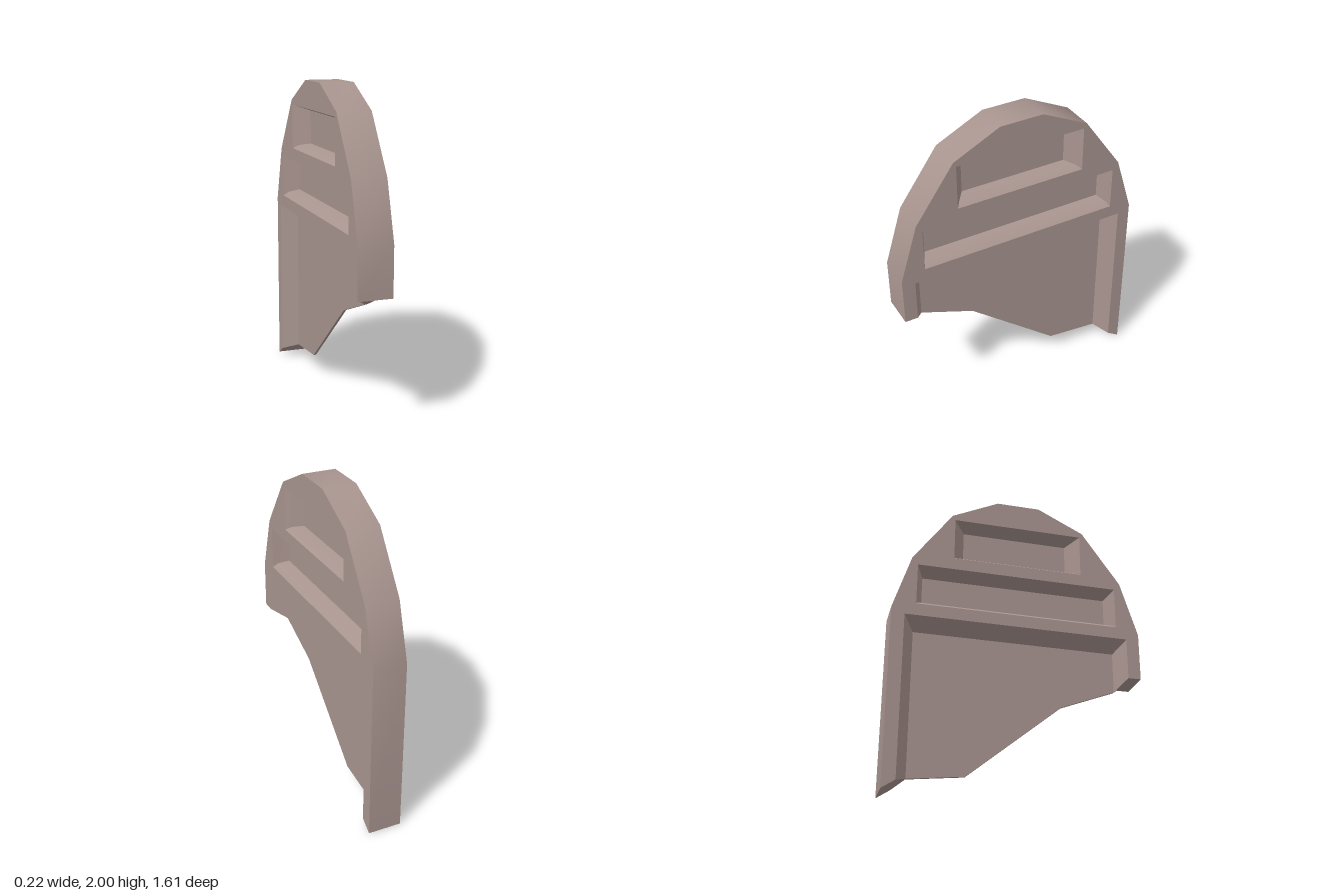
import * as THREE from 'three';
import { toCreasedNormals } from 'three/addons/utils/BufferGeometryUtils.js';

const H = 0.108; // half thickness of the frame
const T = 0.008; // half thickness of the thin web

// Profile points are [u, y] with u = -z, so u runs right when seen from +x.
const at = (p, x) => [x, p[1], -p[0]];

// Collects quads and flat polygons into one mesh; side -1 mirrors them to -x.
function builder() {
  const pos = [];
  const tri = (a, b, c, side) => {
    for (const p of side > 0 ? [a, b, c] : [a, c, b]) pos.push(side * p[0], p[1], p[2]);
  };
  return {
    quad(a, b, c, d, side = 1) {
      tri(a, b, c, side);
      tri(a, c, d, side);
    },
    plate(outline, holes, x, side) {
      const v = (l) => l.map((p) => new THREE.Vector2(p[0], p[1]));
      const all = [outline, ...holes].flat();
      for (const [a, b, c] of THREE.ShapeUtils.triangulateShape(v(outline), holes.map(v))) {
        tri(at(all[a], x), at(all[b], x), at(all[c], x), side);
      }
    },
    // sloped walls between two matching clockwise paths at different depths
    walls(outer, xo, inner, xi, closed, side) {
      const n = outer.length;
      for (let i = 0; i < (closed ? n : n - 1); i++) {
        const j = (i + 1) % n;
        this.quad(at(outer[i], xo), at(inner[i], xi), at(inner[j], xi), at(outer[j], xo), side);
      }
    },
    mesh(name, material, crease) {
      let g = new THREE.BufferGeometry();
      g.setAttribute('position', new THREE.Float32BufferAttribute(pos, 3));
      g.computeVertexNormals();
      if (crease) g = toCreasedNormals(g, crease);
      const m = new THREE.Mesh(g, material);
      m.name = name;
      return m;
    },
  };
}

// clockwise rectangle
const rect = (w, y0, y1) => [[-w, y0], [-w, y1], [w, y1], [w, y0]];

export function createModel() {
  const group = new THREE.Group();
  group.name = 'archedPanel';
  const stone = new THREE.MeshStandardMaterial({ color: 0xa8948f });
  stone.name = 'dusty mauve';

  // rounded top, from the back foot over to the front foot
  const arch = [
    [0.803, 0], [0.803, 1.145], [0.69, 1.505], [0.44, 1.855], [0.14, 2],
    [-0.14, 2], [-0.44, 1.855], [-0.69, 1.505], [-0.803, 1.145], [-0.803, 0.835],
  ];
  // large open recess: edge on the face, and edge on the web
  const openOuter = [[-0.72, 0.835], [-0.72, 1.105], [0.72, 1.105], [0.72, 0.055]];
  const openInner = [[-0.655, 0.77], [-0.655, 1.035], [0.65, 1.035], [0.65, 0.095]];
  const brokenEdge = [[-0.3, 0.63], [0.3, 0.135]];

  // closed recesses: face edge, bend in the sill, floor
  const D = H - (H - T) / 3;
  const pockets = [
    { name: 'upperPocket', outer: rect(0.422, 1.54, 1.825), bend: rect(0.396, 1.562, 1.813), floor: rect(0.346, 1.576, 1.79) },
    { name: 'middlePocket', outer: rect(0.652, 1.185, 1.46), bend: rect(0.637, 1.21, 1.447), floor: rect(0.606, 1.23, 1.42) },
  ];

  // edge strip around the whole outline, [u, y, half width]
  const strip = [
    ...arch.map((p) => [...p, H]),
    [...openOuter[0], H], [...openInner[0], T],
    ...brokenEdge.map((p) => [...p, T]),
    [...openInner[3], T], [...openOuter[3], H],
  ];
  const rim = builder();
  strip.forEach((a, i) => {
    const b = strip[(i + 1) % strip.length];
    rim.quad(at(a, a[2]), at(a, -a[2]), at(b, -b[2]), at(b, b[2]));
  });
  group.add(rim.mesh('rim', stone, 0.6));

  for (const side of [1, -1]) {
    const label = side > 0 ? 'left' : 'right';

    const face = builder();
    face.plate([...openOuter, ...arch], pockets.map((p) => p.outer), H, side);
    group.add(face.mesh(label + 'Face', stone));

    const web = builder();
    web.plate([openInner[0], ...brokenEdge, openInner[3], openInner[2], openInner[1]], [], T, side);
    web.walls(openOuter, H, openInner, T, false, side);
    group.add(web.mesh(label + 'LowerRecess', stone));

    for (const p of pockets) {
      const pocket = builder();
      pocket.walls(p.outer, H, p.bend, D, true, side);
      pocket.walls(p.bend, D, p.floor, T, true, side);
      pocket.plate([...p.floor].reverse(), [], T, side);
      group.add(pocket.mesh(label + '_' + p.name, stone, 0.6));
    }
  }
  return group;
}
